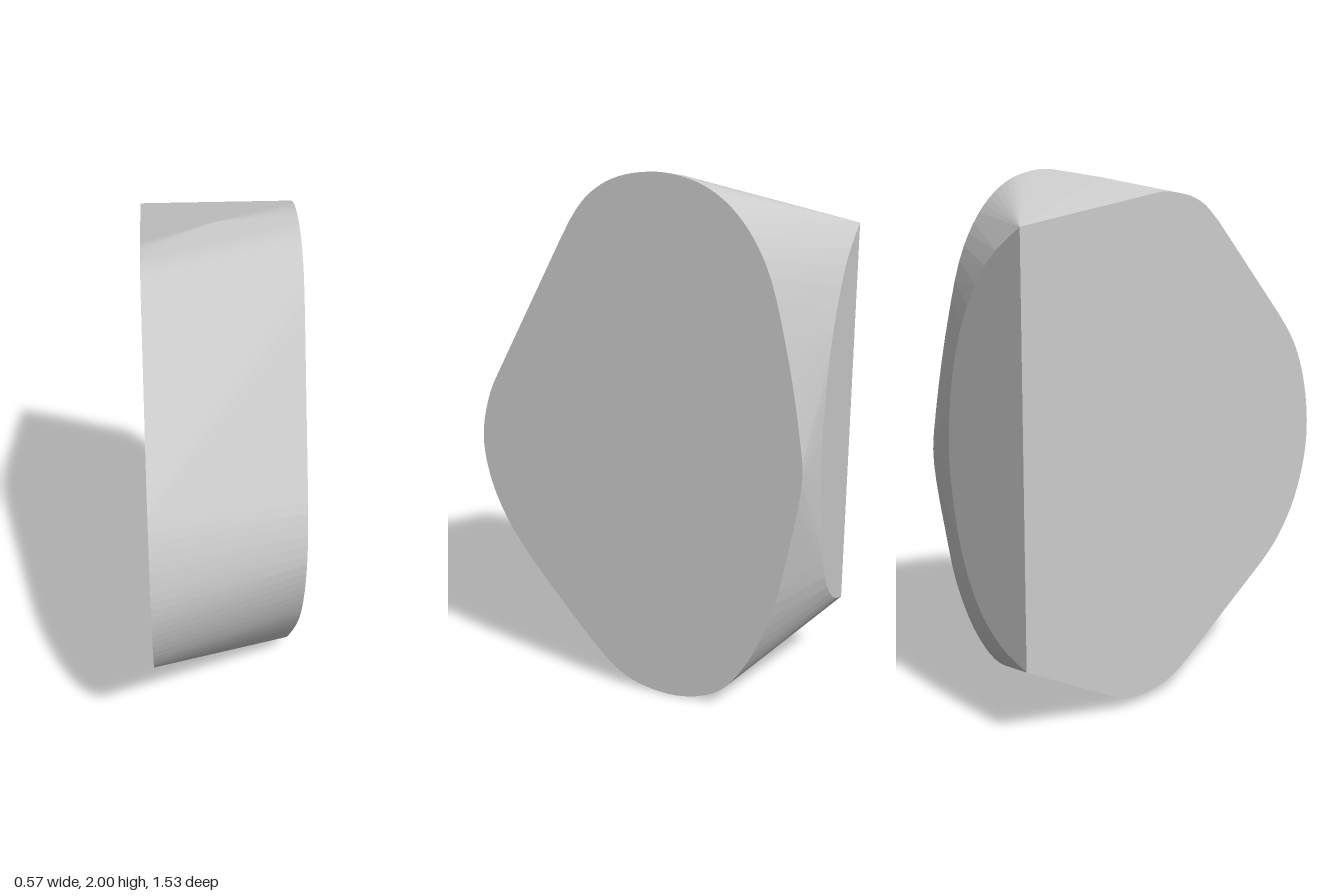
import * as THREE from 'three';
import { ConvexGeometry } from 'three/addons/geometries/ConvexGeometry.js';

const HALF = 0.283; // half thickness in x
const BACK = -0.765; // flat back plane

// Smooth curve through [z, y] points lying in one side plane
function sideCurve(x, pairs, closed, samples) {
  const pts = pairs.map(([z, y]) => new THREE.Vector3(x, y, z));
  return new THREE.CatmullRomCurve3(pts, closed, 'centripetal').getPoints(samples);
}

export function createModel() {
  const group = new THREE.Group();
  const stone = new THREE.MeshStandardMaterial({ color: 0xcccccc });
  stone.name = 'light grey';

  // Rounded outline of the left side
  const left = sideCurve(HALF, [
    [-0.15, 2.0], [-0.03, 1.98], [0.06, 1.935], [0.135, 1.86], [0.3, 1.555], [0.45, 1.275],
    [0.52, 1.13], [0.553, 0.96], [0.53, 0.8], [0.47, 0.65], [0.38, 0.51], [0.2, 0.29],
    [0.02, 0.095], [-0.08, 0.03], [-0.23, 0.0], [-0.35, 0.015], [-0.45, 0.065],
    [-0.55, 0.2], [-0.64, 0.42], [-0.69, 0.65], [-0.735, 0.95], [-0.72, 1.1],
    [-0.66, 1.42], [-0.58, 1.7], [-0.48, 1.86], [-0.37, 1.95], [-0.25, 1.992],
  ], true, 110);

  // Larger outline of the right side, cut off straight at the back
  const right = sideCurve(-HALF, [
    [-0.16, 1.9], [-0.09, 1.91], [-0.02, 1.905], [0.06, 1.89], [0.14, 1.85], [0.38, 1.615],
    [0.63, 1.36], [0.7, 1.25], [0.75, 1.1], [0.768, 0.94], [0.75, 0.8], [0.69, 0.64],
    [0.6, 0.51], [0.5, 0.42], [0.38, 0.34], [0.18, 0.205], [-0.02, 0.07],
    [-0.14, 0.035], [-0.24, 0.03], [-0.31, 0.04],
  ], false, 80);

  // Curved border of the flat back face, from top corner to bottom corner
  const back = new THREE.CatmullRomCurve3([
    [0, 1.79], [0.17, 1.68], [0.31, 1.49], [0.39, 1.28], [0.425, 1.0],
    [0.41, 0.83], [0.36, 0.62], [0.26, 0.43], [0.13, 0.32], [0, 0.27],
  ].map(([dx, y]) => new THREE.Vector3(-HALF + dx, y, BACK)), false, 'centripetal').getPoints(24);

  // Slight ridge across the top
  const ridge = new THREE.Vector3(-0.02, 1.963, -0.16);

  const body = new THREE.Mesh(new ConvexGeometry([...left, ...right, ...back, ridge]), stone);
  body.name = 'body';
  group.add(body);
  return group;
}
